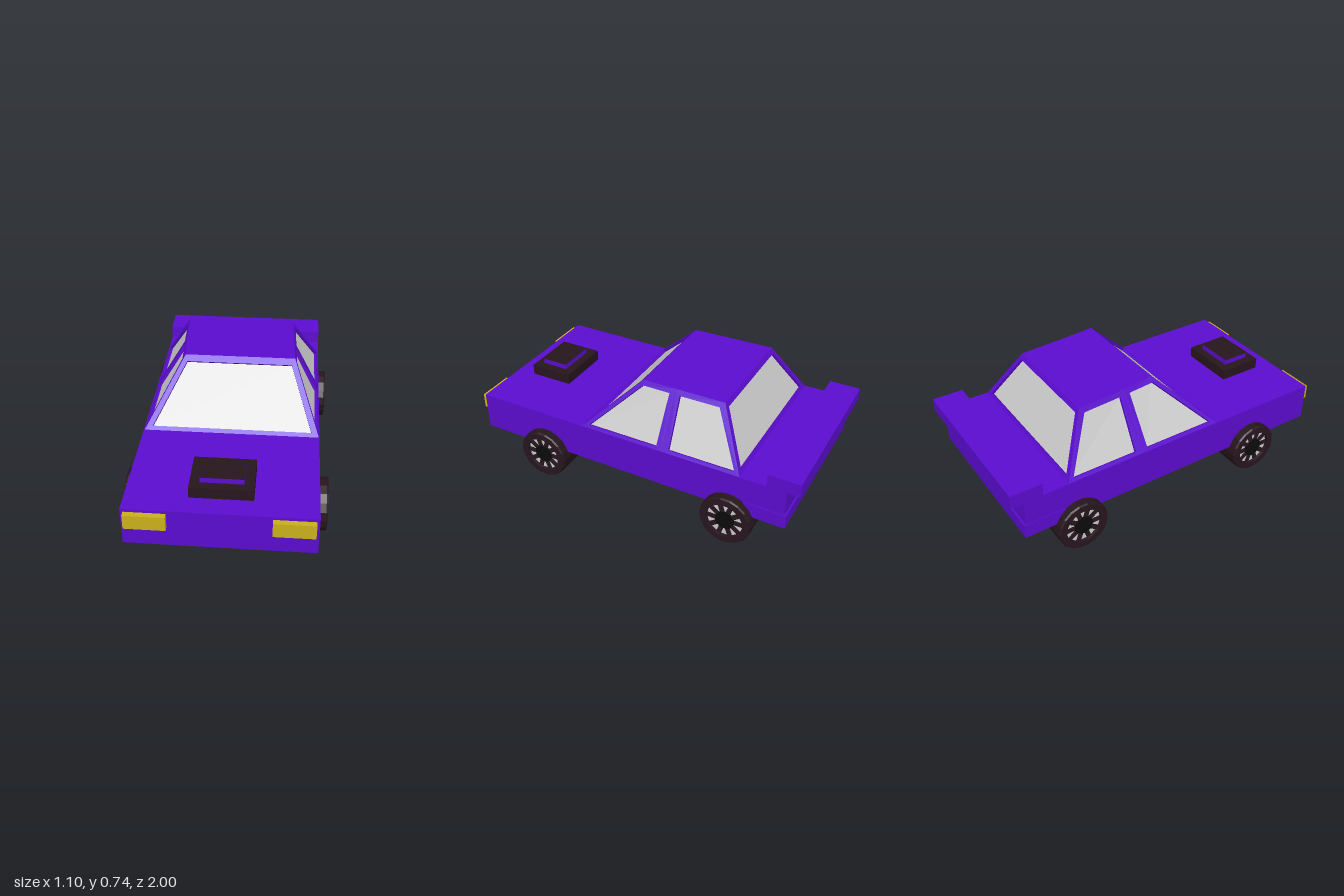
import * as THREE from 'three';

const mat = (color, extra = {}) => new THREE.MeshStandardMaterial({ color, flatShading: true, ...extra });

export function createModel() {
  const car = new THREE.Group();
  car.name = 'car';
  const paint = mat(0x5b0ccf);
  const panelPaint = mat(0x5b0ccf, { side: THREE.DoubleSide });
  const glass = mat(0xcccccc, { side: THREE.DoubleSide });
  const rubber = mat(0x26161d);
  const black = mat(0x0b0b0b);
  const yellow = mat(0xc9b01c);
  const grey = mat(0xcccccc);

  const add = (name, geometry, material, parent = car) => {
    const mesh = new THREE.Mesh(geometry, material);
    mesh.name = name;
    parent.add(mesh);
    return mesh;
  };
  // Box given by its limits on each axis
  const box = (name, [x0, x1], [y0, y1], [z0, z1], material) => {
    const mesh = add(name, new THREE.BoxGeometry(x1 - x0, y1 - y0, z1 - z0), material);
    mesh.position.set((x0 + x1) / 2, (y0 + y1) / 2, (z0 + z1) / 2);
    return mesh;
  };

  // Lower body, rear bumper and spoiler
  box('body', [-0.495, 0.493], [0.205, 0.427], [-0.93, 0.97], paint);
  box('rearBumper', [-0.5, 0.5], [0.197, 0.28], [-0.94, -0.7], paint);
  box('spoiler', [-0.497, 0.493], [0.427, 0.502], [-1, -0.82], paint);

  // Headlights
  box('leftHeadlight', [0.263, 0.478], [0.325, 0.41], [0.96, 1], yellow);
  box('rightHeadlight', [-0.48, -0.265], [0.325, 0.41], [0.96, 1], yellow);

  // Bonnet scoop: dark base with a smaller painted step and a dark top face
  box('scoopBase', [-0.167, 0.163], [0.427, 0.49], [0.6, 0.857], rubber);
  box('scoopTop', [-0.115, 0.111], [0.49, 0.52], [0.65, 0.81],
    [paint, paint, rubber, paint, paint, paint]);

  // Cabin: quads are built from corners in the order
  // bottom-left, bottom-right, top-right, top-left as seen from outside
  const V = (x, y, z) => new THREE.Vector3(x, y, z);
  const quads = (list) => {
    const points = list.flatMap(([a, b, c, d]) => [a, b, c, a, c, d]);
    const geometry = new THREE.BufferGeometry().setFromPoints(points);
    geometry.computeVertexNormals();
    return geometry;
  };
  const bilinear = ([a, b, c, d], [u, v]) =>
    a.clone().lerp(b, u).lerp(d.clone().lerp(c, u), v);

  const cabin = new THREE.Group();
  cabin.name = 'cabin';
  car.add(cabin);

  // A wall with one recessed window; hole gives its corners as fractions of the wall
  const wall = (name, outer, hole) => {
    const inner = hole.map((uv) => bilinear(outer, uv));
    const normal = outer[1].clone().sub(outer[0]).cross(outer[3].clone().sub(outer[0])).normalize();
    const deep = inner.map((p) => p.clone().addScaledVector(normal, -0.016));
    const faces = [];
    for (let i = 0; i < 4; i++) {
      const j = (i + 1) % 4;
      faces.push([outer[i], outer[j], inner[j], inner[i]], [inner[i], inner[j], deep[j], deep[i]]);
    }
    add(name + 'Frame', quads(faces), panelPaint, cabin);
    add(name + 'Window', quads([deep]), glass, cabin);
  };

  // Corner points, [right (-x), left (+x)]
  const frontBase = [V(-0.49, 0.427, 0.29), V(0.49, 0.427, 0.29)];
  const midBase = [V(-0.49, 0.427, -0.213), V(0.49, 0.427, -0.213)];
  const rearBase = [V(-0.49, 0.427, -0.67), V(0.49, 0.427, -0.67)];
  const frontTop = [V(-0.288, 0.743, -0.03), V(0.34, 0.743, -0.03)];
  const midTop = [V(-0.306, 0.737, -0.22), V(0.332, 0.737, -0.22)];
  const rearTop = [V(-0.323, 0.731, -0.5), V(0.32, 0.731, -0.5)];

  const endHole = [[0.035, 0.055], [0.965, 0.055], [0.955, 0.91], [0.045, 0.91]];
  wall('windscreen', [frontBase[0], frontBase[1], frontTop[1], frontTop[0]], endHole);
  wall('rear', [rearBase[1], rearBase[0], rearTop[0], rearTop[1]], endHole);

  // Side walls, holes measured from the front; the right side is mirrored
  const frontHole = [[0.06, 0.055], [0.93, 0.055], [0.86, 0.91], [0.14, 0.91]];
  const rearHole = [[0.09, 0.055], [0.945, 0.055], [0.87, 0.91], [0.1, 0.91]];
  const flip = ([a, b, c, d]) => [b, a, d, c].map(([u, v]) => [1 - u, v]);
  wall('leftFrontDoor', [frontBase[1], midBase[1], midTop[1], frontTop[1]], frontHole);
  wall('leftRearDoor', [midBase[1], rearBase[1], rearTop[1], midTop[1]], rearHole);
  wall('rightFrontDoor', [midBase[0], frontBase[0], frontTop[0], midTop[0]], flip(frontHole));
  wall('rightRearDoor', [rearBase[0], midBase[0], midTop[0], rearTop[0]], flip(rearHole));

  add('roof', quads([
    [frontTop[0], frontTop[1], midTop[1], midTop[0]],
    [midTop[0], midTop[1], rearTop[1], rearTop[0]],
  ]), panelPaint, cabin);

  // Wheels: wide tyre with a shallow dish, grey rim, dark spokes and hub; axis along local y
  const tyreProfile = [[0, 0], [0.148, 0], [0.148, 0.295], [0.143, 0.305], [0.106, 0.305], [0.104, 0.285]]
    .map(([r, y]) => new THREE.Vector2(r, y));
  const tyre = new THREE.LatheGeometry(tyreProfile, 18);
  const rim = new THREE.CylinderGeometry(0.106, 0.106, 0.01, 18);
  const hub = new THREE.CylinderGeometry(0.055, 0.055, 0.02, 18);
  const spoke = new THREE.BoxGeometry(0.06, 0.014, 0.027);
  const wheel = (name, side, y, z) => {
    const group = new THREE.Group();
    group.name = name;
    add('tyre', tyre, rubber, group);
    add('rim', rim, grey, group).position.y = 0.282;
    add('hub', hub, black, group).position.y = 0.288;
    for (let i = 0; i < 10; i++) {
      const angle = ((i + 0.5) / 10) * Math.PI * 2;
      const s = add('spoke', spoke, rubber, group);
      s.position.set(Math.cos(angle) * 0.08, 0.286, Math.sin(angle) * 0.08);
      s.rotation.y = -angle;
    }
    group.rotation.z = -side * Math.PI / 2;
    group.position.set(side * 0.243, y, z);
    car.add(group);
  };
  for (const [label, side] of [['left', 1], ['right', -1]]) {
    wheel(label + 'FrontWheel', side, 0.17, 0.545);
    wheel(label + 'RearWheel', side, 0.148, -0.62);
  }

  return car;
}
